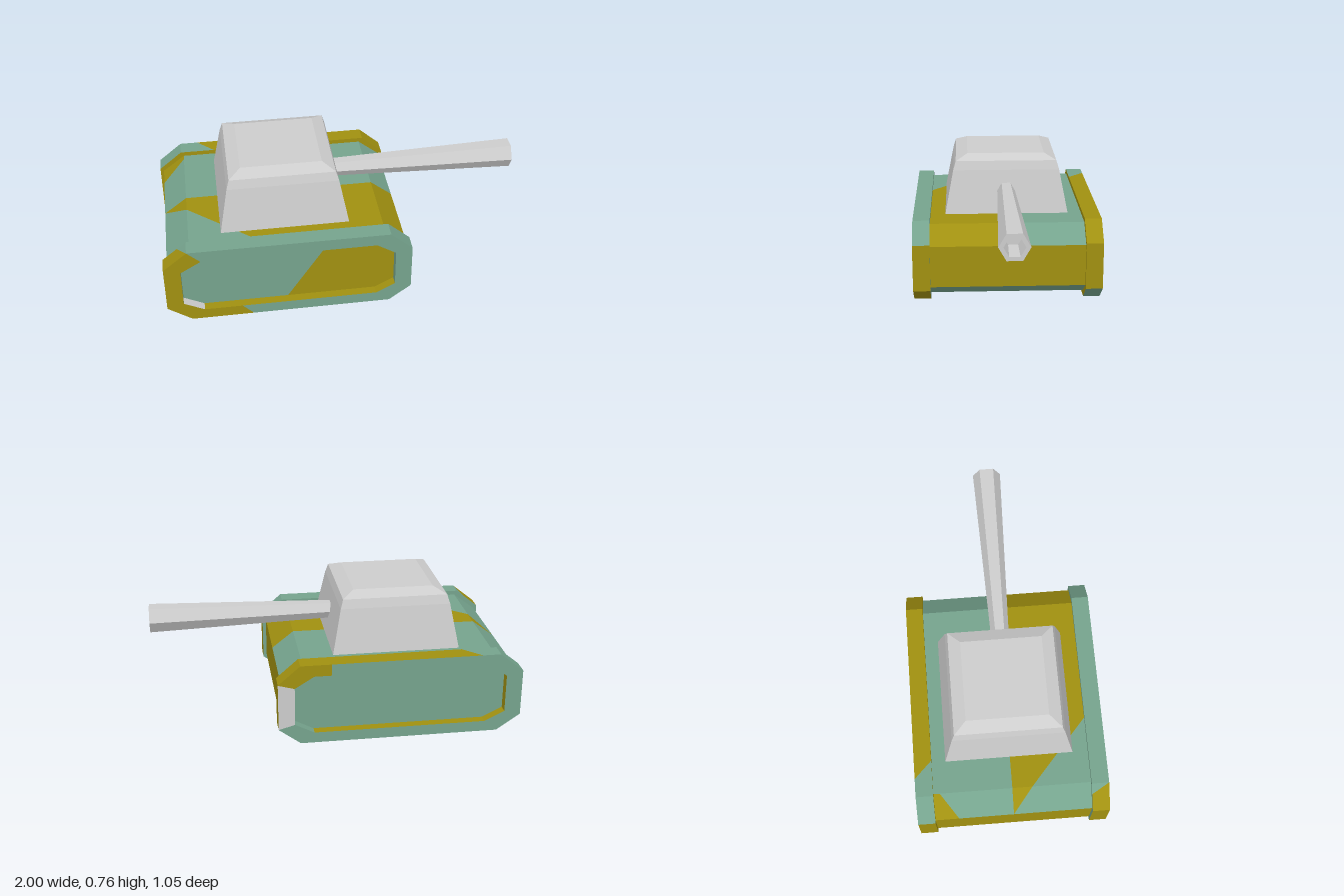
import * as THREE from 'three';

const mats = {};
for (const [name, color] of [['green', 0x75a38d], ['ochre', 0xa09010], ['grey', 0xcccccc]]) {
  mats[name] = new THREE.MeshStandardMaterial({ color });
  mats[name].name = name;
}

// Octagonal side profile, anticlockwise from the bottom edge:
// 0 bottom, 1 front low chamfer, 2 front, 3 front high chamfer, 4 top, 5-7 rear
const octagon = (x0, xa, xb, x1, y0, ya, yb, y1) => [
  [xa, y0], [xb, y0], [x1, ya], [x1, yb], [xb, y1], [xa, y1], [x0, yb], [x0, ya],
];

// Part of a convex polygon on one side of the plane n.p + d > 0
function clip(poly, [a, b, c, d], sign) {
  const dist = (p) => sign * (a * p[0] + b * p[1] + c * p[2] + d);
  const out = [];
  poly.forEach((p, i) => {
    const q = poly[(i + 1) % poly.length];
    const dp = dist(p), dq = dist(q);
    if (dp >= 0) out.push(p);
    if (dp * dq < 0) out.push(p.map((v, k) => v + (q[k] - v) * dp / (dp - dq)));
  });
  return out;
}

// Collects painted faces and turns them into one mesh for each colour
class Painter {
  constructor() { this.tris = { green: [], ochre: [], grey: [] }; }

  // paint: a colour, or [base, [plane, colour], ...] where each plane cuts off a patch
  face(poly, paint, flip = false) {
    const [base, ...patches] = Array.isArray(paint) ? paint : [paint];
    let rest = flip ? [...poly].reverse() : poly;
    for (const [plane, color] of patches) {
      this.fan(clip(rest, plane, 1), color);
      rest = clip(rest, plane, -1);
    }
    this.fan(rest, base);
  }

  fan(poly, color) {
    for (let i = 1; i < poly.length - 1; i++) this.tris[color].push(...poly[0], ...poly[i], ...poly[i + 1]);
  }

  // Walls of a profile stretched from z0 to z1
  walls(profile, z0, z1, paints, inward = false) {
    profile.forEach((p, i) => {
      const q = profile[(i + 1) % profile.length];
      this.face([[...p, z1], [...p, z0], [...q, z0], [...q, z1]], paints[i], inward);
    });
  }

  group(name) {
    const group = new THREE.Group();
    group.name = name;
    for (const [color, data] of Object.entries(this.tris)) {
      if (!data.length) continue;
      const geo = new THREE.BufferGeometry();
      geo.setAttribute('position', new THREE.Float32BufferAttribute(data, 3));
      geo.computeVertexNormals();
      const mesh = new THREE.Mesh(geo, mats[color]);
      mesh.name = `${name} ${color}`;
      group.add(mesh);
    }
    return group;
  }
}

// Flat-shaded turned shape
function turned(name, points, sides, phase = 0) {
  const geo = new THREE.LatheGeometry(points.map(([r, y]) => new THREE.Vector2(r, y)), sides, phase).toNonIndexed();
  geo.computeVertexNormals();
  const mesh = new THREE.Mesh(geo, mats.grey);
  mesh.name = name;
  return mesh;
}

function buildHull() {
  const hull = new Painter();
  const rightHalf = [[0, 0, -1, 0], 'green'];
  const diagonal = [[0.878, 0, -1, 0.86], 'ochre'];
  const rearCorner = [[-0.76, 0, -1, -1.045], 'ochre'];
  hull.walls(octagon(-0.98, -0.855, 0.2, 0.32, 0.03, 0.105, 0.34, 0.435), -0.43, 0.43, [
    ['green', [[-1, 0, 0, -0.36], 'ochre']],
    'green',
    'ochre',
    ['ochre', rightHalf],
    ['green', rightHalf, diagonal],
    ['green', rearCorner, rightHalf, diagonal],
    'ochre',
    'ochre',
  ]);
  return hull.group('hull');
}

function buildTrack(name, s, paint) {
  const track = new Painter();
  const outer = octagon(-1, -0.87, 0.22, 0.34, 0, 0.09, 0.355, 0.46);
  const inner = octagon(-0.91, -0.8, 0.145, 0.25, 0.06, 0.115, 0.33, 0.395);
  const zIn = 0.43 * s, zOut = 0.525 * s, zPanel = 0.475 * s;
  const flip = s < 0;
  // tread, recess walls, and rim
  track.walls(outer, zIn, zOut, paint.tread, flip);
  track.walls(inner, zPanel, zOut, paint.recess, !flip);
  outer.forEach((p, i) => {
    const j = (i + 1) % 8;
    track.face([p, outer[j], inner[j], inner[i]].map((v) => [...v, zOut]), paint.rim[i], flip);
  });
  // sunken side panel and hull-side face
  track.face(inner.map((v) => [...v, zPanel]), paint.panel, flip);
  track.face(outer.map((v) => [...v, zIn]), paint.back, !flip);
  return track.group(name);
}

export function createModel() {
  const model = new THREE.Group();
  model.name = 'tank';
  model.add(buildHull());

  model.add(buildTrack('leftTrack', 1, {
    tread: [
      ['green', [[-1, 0, 0, -0.54], 'ochre']], 'ochre', 'ochre', 'green', 'green',
      ['green', [[-1, 0, 0.526, -1.146], 'ochre']], 'ochre', 'ochre',
    ],
    rim: [
      ['green', [[-1, -1, 0, -0.535], 'ochre']], 'green', 'green', 'green', 'green',
      'ochre', 'ochre', 'ochre',
    ],
    recess: ['ochre', 'ochre', 'green', 'green', 'green', 'green', 'green', 'grey'],
    panel: ['green', [[1, -0.672, 0, 0.38], 'ochre']],
    back: 'green',
  }));

  model.add(buildTrack('rightTrack', -1, {
    tread: [
      ['green', [[-1, 0, 0, -0.33], 'ochre']], 'green', 'ochre', 'ochre',
      ['ochre', [[-1, 0, 1, -0.245], 'green']], 'green', 'ochre', 'ochre',
    ],
    rim: [
      'green', 'green', 'grey', 'ochre', ['green', [[1, 0, 0, -0.05], 'ochre']],
      'green', 'green', 'green',
    ],
    recess: ['ochre', 'green', 'green', 'green', 'green', 'ochre', 'ochre', 'ochre'],
    panel: 'green',
    back: 'ochre',
  }));

  // Turret: a square stack with a bevelled roof
  const turretSteps = [[0.35, 0.435], [0.302, 0.68], [0.287, 0.73], [0.22, 0.76], [0, 0.76]];
  const turret = turned('turret', turretSteps.map(([h, y]) => [h * Math.SQRT2, y]), 4, Math.PI / 4);
  turret.position.set(-0.33, 0, -0.004);
  model.add(turret);

  // Gun: six-sided barrel widening to a hollow muzzle
  const gun = turned('gunBarrel', [[0, 0], [0.05, 0], [0.08, 1.02], [0.055, 1.02], [0.05, 0.85], [0, 0.85]], 6);
  gun.rotation.z = -Math.PI / 2;
  gun.position.set(-0.02, 0.564, -0.002);
  model.add(gun);

  return model;
}
